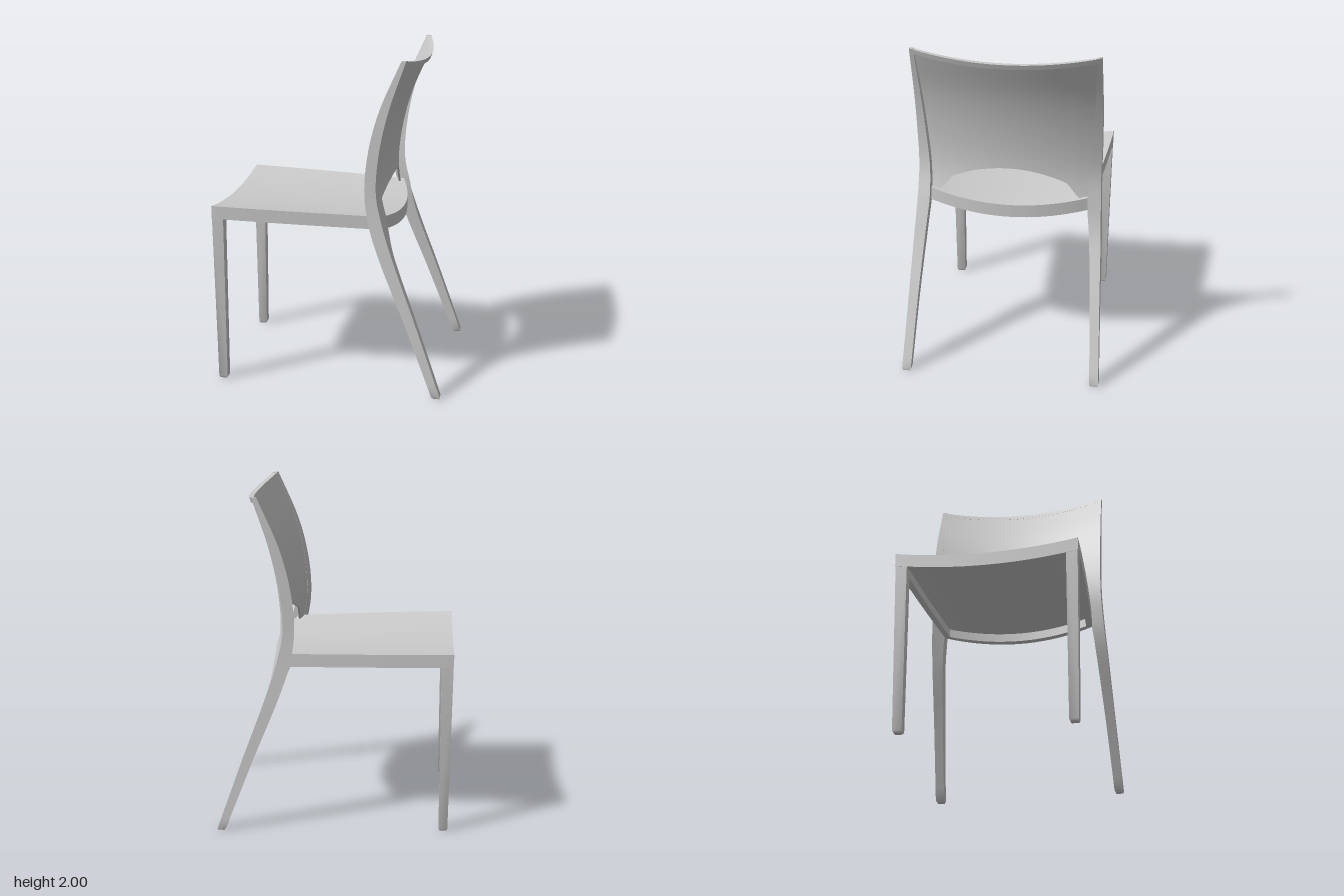
import * as THREE from 'three';
import { toCreasedNormals } from 'three/addons/utils/BufferGeometryUtils.js';

const material = new THREE.MeshStandardMaterial({ color: 0xcccccc });
const lerp = THREE.MathUtils.lerp;

// Closed slab from a rule f(s, t, side) -> [x, y, z]; s, t in 0..1, side 0 or 1.
function slab(name, n, m, f) {
  const pos = [], idx = [];
  for (let k = 0; k < 2; k++)
    for (let i = 0; i <= n; i++)
      for (let j = 0; j <= m; j++) pos.push(...f(i / n, j / m, k));
  const id = (i, j, k) => (k * (n + 1) + i) * (m + 1) + j;
  const quad = (a, b, c, d) => idx.push(a, b, c, a, c, d);
  for (let i = 0; i < n; i++)
    for (let j = 0; j < m; j++) {
      quad(id(i, j, 0), id(i + 1, j, 0), id(i + 1, j + 1, 0), id(i, j + 1, 0));
      quad(id(i, j, 1), id(i, j + 1, 1), id(i + 1, j + 1, 1), id(i + 1, j, 1));
    }
  for (let j = 0; j < m; j++) {
    quad(id(0, j, 0), id(0, j + 1, 0), id(0, j + 1, 1), id(0, j, 1));
    quad(id(n, j + 1, 0), id(n, j, 0), id(n, j, 1), id(n, j + 1, 1));
  }
  for (let i = 0; i < n; i++) {
    quad(id(i + 1, 0, 0), id(i, 0, 0), id(i, 0, 1), id(i + 1, 0, 1));
    quad(id(i, m, 0), id(i + 1, m, 0), id(i + 1, m, 1), id(i, m, 1));
  }
  // Turn the faces outward if the enclosed volume comes out negative.
  let volume = 0;
  const point = (i) => new THREE.Vector3().fromArray(pos, i * 3);
  for (let i = 0; i < idx.length; i += 3)
    volume += point(idx[i]).dot(point(idx[i + 1]).cross(point(idx[i + 2])));
  if (volume < 0) idx.reverse();
  const geo = new THREE.BufferGeometry();
  geo.setAttribute('position', new THREE.Float32BufferAttribute(pos, 3));
  geo.setIndex(idx);
  const mesh = new THREE.Mesh(toCreasedNormals(geo, 0.55), material);
  mesh.name = name;
  return mesh;
}

// Rear post by height: front depth, back depth, outer and inner half width.
const heights = [0, 0.45, 0.86, 1.03, 1.21, 1.45, 1.7, 2];
const sections = [
  0.63, 0.68, 0.604, 0.55,
  0.455, 0.52, 0.583, 0.525,
  0.29, 0.37, 0.565, 0.495,
  0.238, 0.318, 0.556, 0.478,
  0.21, 0.278, 0.55, 0.48,
  0.228, 0.292, 0.552, 0.497,
  0.29, 0.345, 0.552, 0.512,
  0.418, 0.445, 0.55, 0.525,
];
const spline = new THREE.CubicInterpolant(heights, sections, 4);
const post = (y) => [...spline.evaluate(y)];

// Backward bow of the backrest across its width.
const bow = (v) => 0.085 * (1 - (v / 0.55) ** 2);
const topEdge = (v) => 2 - 0.045 * (1 - (v / 0.55) ** 2);

// Lower edge of the back panel: a wide arch with steep ends.
function archEdge(v) {
  const a = Math.abs(v);
  if (a < 0.36) return 1.235 - 0.085 * (a / 0.36) ** 2;
  return Math.max(1.06, lerp(1.15, 1.06, (a - 0.36) / 0.07));
}

// Point on the seat top: s front to back, t -1..1 across, lowered by drop.
function seatPoint(s, t, drop) {
  const half = 0.538 - 0.058 * s ** 1.5;
  const back = 0.29 + 0.08 * (1 - t * t);
  const y = lerp(1.1, 1.07, s) - 0.045 * (1 - t * t) - drop;
  return [half * t, y, -lerp(-0.715, back, s)];
}

export function createModel() {
  const chair = new THREE.Group();
  chair.name = 'chair';

  // Seat shell and the apron under its four edges
  chair.add(slab('seat', 20, 24, (s, t, k) => seatPoint(s, 2 * t - 1, k * 0.025)));
  const apron = (name, s0, s1, t0, t1, n, m) =>
    chair.add(slab(name, n, m, (s, t, k) =>
      seatPoint(lerp(s0, s1, s), lerp(t0, t1, t), k ? 0.078 : 0.012)));
  apron('frontApron', 0, 0.04, -1, 1, 1, 24);
  apron('backRail', 0.96, 1, -1, 1, 1, 24);
  apron('rightApron', 0.04, 0.96, -1, -0.92, 20, 2);
  apron('leftApron', 0.04, 0.96, 0.92, 1, 20, 2);

  for (const [label, side] of [['left', 1], ['right', -1]]) {
    // Tapered front leg with a small chamfer at the foot
    const steps = [0, 0.012, 1.05];
    chair.add(slab(label + 'FrontLeg', 2, 1, (s, t, k) => {
      const y = steps[Math.round(s * 2)], h = y / 1.05, c = y === 0 ? 0.006 : 0;
      const u = k ? -0.645 - c : lerp(-0.698, -0.714, h) + c;
      const v = t ? lerp(0.466, 0.468, h) + c : lerp(0.521, 0.536, h) - c;
      return [side * v, y, -u];
    }));

    // Rear leg and back post in one sweep
    chair.add(slab(label + 'RearPost', 50, 1, (s, t, k) => {
      const y = s < 0.03 ? s * 0.6 : 2 * s;
      const [uFront, uBack, outer, inner] = post(y);
      const c = s === 0 ? 0.006 : 0;
      const v = t ? inner + c : outer - c;
      const skew = bow(v) * THREE.MathUtils.smoothstep(y, 0.8, 1.1);
      return [side * v, y, -((k ? uBack - c : uFront + c) + skew)];
    }));
  }

  // Thin bowed back panel, flush with the front of the posts
  chair.add(slab('backPanel', 24, 48, (s, t, k) => {
    const e = 2 * t - 1;
    const y = lerp(archEdge(e * 0.5), topEdge(e * 0.535) - 0.004, s);
    const [uFront, , , inner] = post(y);
    const v = e * (inner + 0.008);
    return [v, y, -(uFront + bow(v) + (k ? 0.014 : 0.001))];
  }));

  // Thicker rim along the top of the panel
  chair.add(slab('topRim', 2, 40, (s, t, k) => {
    const v = (2 * t - 1) * 0.54;
    const y = topEdge(v) - 0.03 * (1 - s);
    const [uFront, uBack] = post(y);
    return [v, y, -((k ? uBack : uFront) + bow(v))];
  }));

  // The chair stands turned about the vertical axis
  chair.rotation.y = Math.atan2(-0.957, -0.29);
  chair.position.set(0.009, 0, -0.029);
  const model = new THREE.Group();
  model.name = 'chairModel';
  model.add(chair);
  return model;
}
